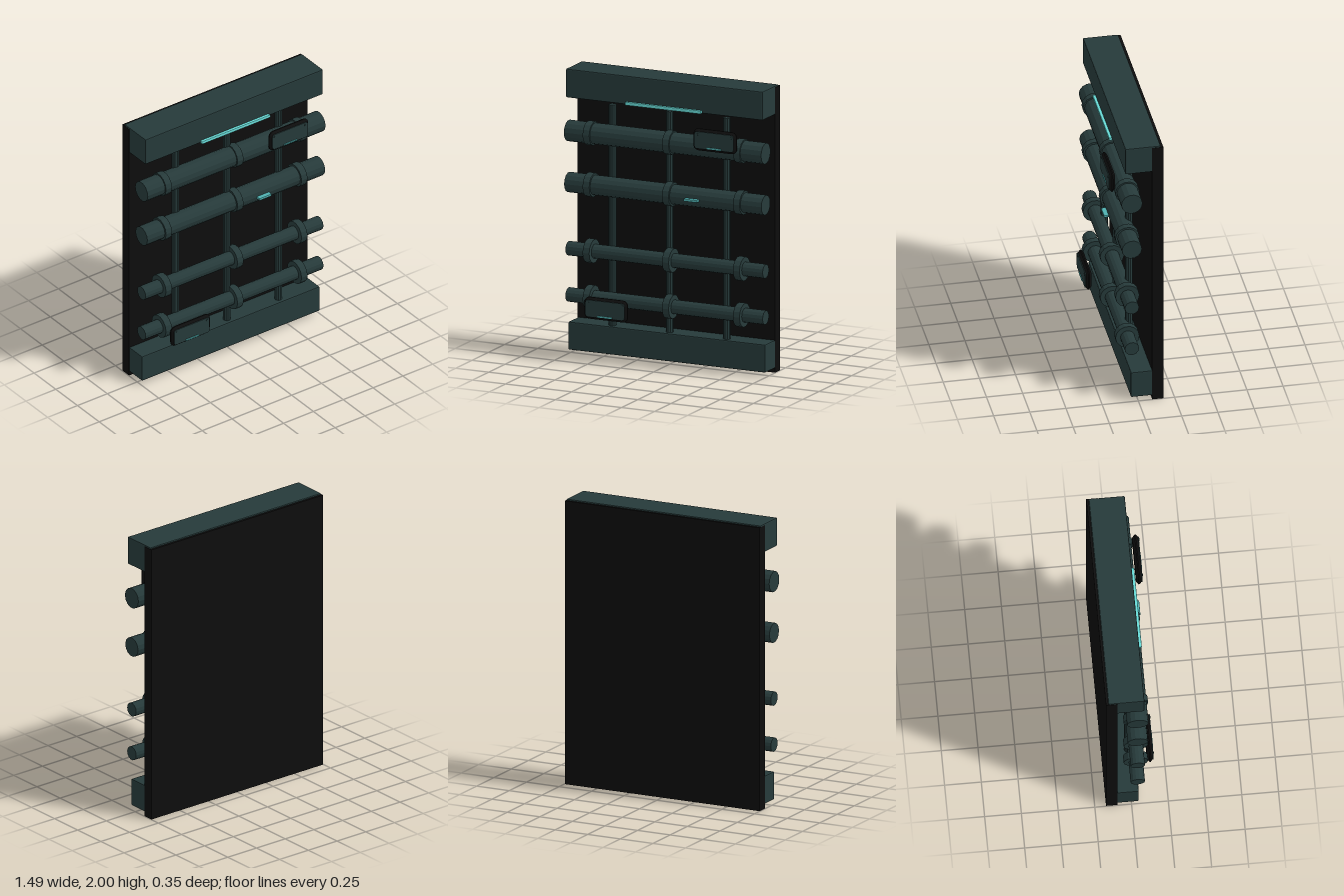
import * as THREE from 'three';
import { RoundedBoxGeometry } from 'three/addons/geometries/RoundedBoxGeometry.js';

const mat = (name, color) => new THREE.MeshStandardMaterial({ name, color, flatShading: true });

export function createModel() {
  const black = mat('black', 0x0d0d0d);
  const steel = mat('dark teal steel', 0x263a3a);
  const glow = mat('bright cyan', 0x68dcd8);
  const dimGlow = mat('dim cyan', 0x4fb0b0);

  const root = new THREE.Group();
  root.name = 'pipeWallPanel';

  const add = (parent, name, geometry, material, x, y, z) => {
    const mesh = new THREE.Mesh(geometry, material);
    mesh.name = name;
    mesh.position.set(x, y, z);
    parent.add(mesh);
    return mesh;
  };
  const block = (w, h, d, r = 0.008) => new RoundedBoxGeometry(w, h, d, 1, r);
  const pipeX = (r, length) => new THREE.CylinderGeometry(r, r, length, 14).rotateZ(Math.PI / 2);

  // Backing panel with the beams along its top and bottom edges
  add(root, 'backPanel', new THREE.BoxGeometry(1.494, 1.99, 0.077), black, 0, 0.995, -0.135);
  add(root, 'topBeam', block(1.49, 0.2, 0.245), steel, 0, 1.9, -0.034);
  add(root, 'bottomBeam', block(1.49, 0.195, 0.2), steel, 0, 0.128, -0.05);
  add(root, 'topLight', block(0.575, 0.024, 0.022, 0.006), glow, 0, 1.811, 0.101);

  // Upright rods behind the pipes
  for (const x of [-0.433, 0, 0.431]) {
    add(root, 'uprightRod', new THREE.CylinderGeometry(0.026, 0.026, 1.57, 10), steel, x, 0.983, 0.003);
  }

  // Horizontal pipes, each with three collars
  const rows = [[1.56, 0.073], [1.2, 0.069], [0.738, 0.049], [0.415, 0.049]];
  for (const [y, r] of rows) {
    const row = new THREE.Group();
    row.name = 'pipeRow';
    row.position.set(0, y, 0.043);
    root.add(row);
    add(row, 'pipe', pipeX(r, 1.49), steel, 0, 0, 0);
    for (const x of [-0.574, 0.026, 0.562]) add(row, 'collar', pipeX(0.083, 0.05), steel, x, 0, 0);
  }
  add(root, 'pipeLight', block(0.105, 0.018, 0.036, 0.005), dimGlow, 0.223, 1.195, 0.126);

  // Rounded rectangle outline for the control boxes
  const outline = (w, h, r) => {
    const s = new THREE.Shape();
    const a = w / 2, b = h / 2;
    s.moveTo(-a + r, -b);
    s.lineTo(a - r, -b).quadraticCurveTo(a, -b, a, -b + r);
    s.lineTo(a, b - r).quadraticCurveTo(a, b, a - r, b);
    s.lineTo(-a + r, b).quadraticCurveTo(-a, b, -a, b - r);
    s.lineTo(-a, -b + r).quadraticCurveTo(-a, -b, -a + r, -b);
    return s;
  };

  // Control boxes: bevelled housing, face plate, screws and a small light
  const boxGeo = new THREE.ExtrudeGeometry(outline(0.286, 0.112, 0.02), {
    depth: 0.008, bevelThickness: 0.017, bevelSize: 0.02, bevelSegments: 1, curveSegments: 3,
  });
  const faceGeo = new THREE.ExtrudeGeometry(outline(0.296, 0.118, 0.02), {
    depth: 0.006, bevelEnabled: false, curveSegments: 3,
  });
  const screwGeo = new THREE.CylinderGeometry(0.009, 0.009, 0.004, 10).rotateX(Math.PI / 2);
  for (const [x, y] of [[0.413, 1.632], [-0.411, 0.367]]) {
    const box = new THREE.Group();
    box.name = 'controlBox';
    box.position.set(x, y, 0.139);
    root.add(box);
    add(box, 'housing', boxGeo, black, 0, 0, 0);
    add(box, 'facePlate', faceGeo, steel, 0, 0, 0.022);
    for (const side of [-1, 1]) add(box, 'screw', screwGeo, steel, side * 0.127, 0.04, 0.029);
    add(box, 'boxLight', new THREE.BoxGeometry(0.107, 0.01, 0.006), dimGlow, 0, -0.05, 0.03);
  }
  return root;
}
